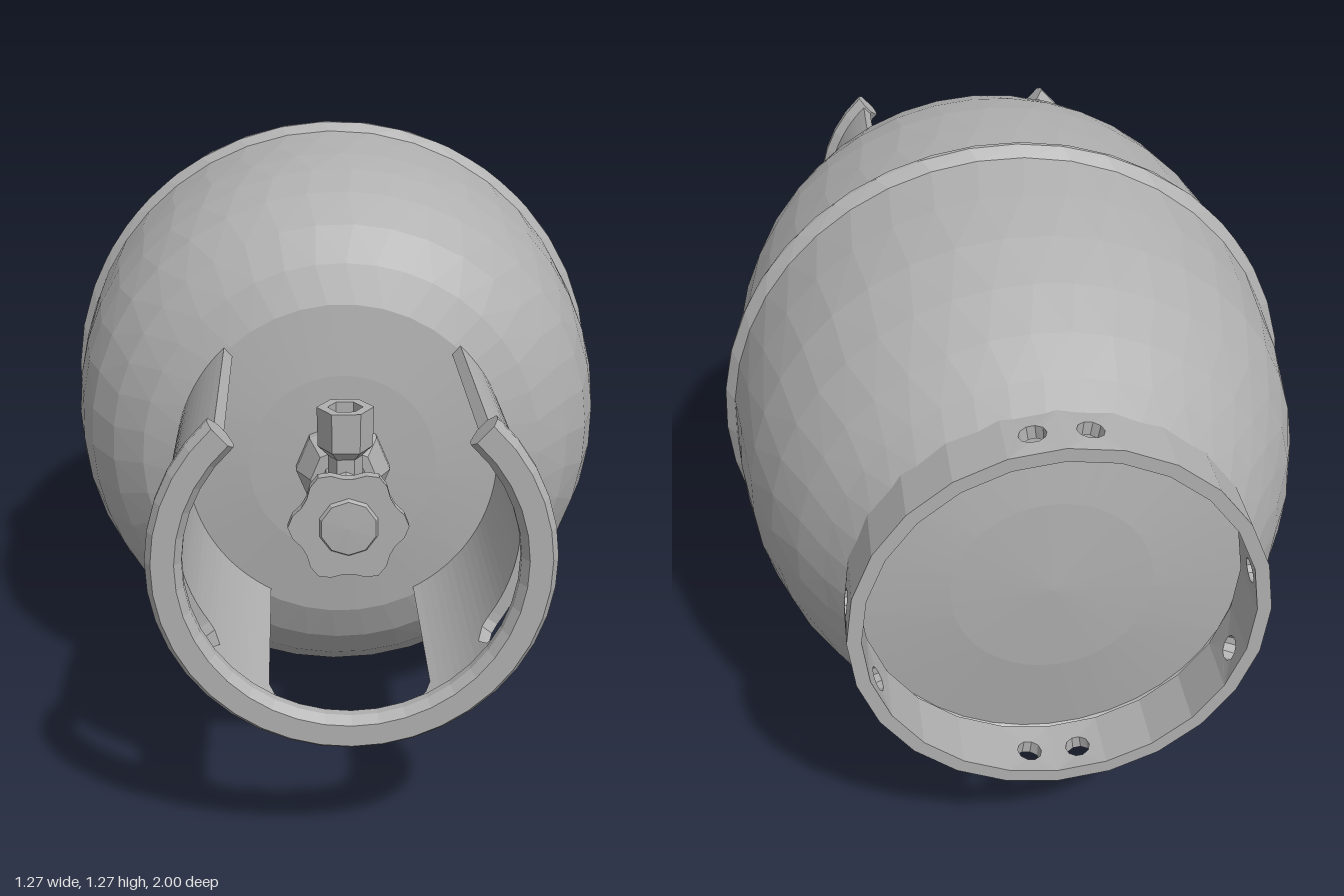
import * as THREE from 'three';
import { mergeGeometries } from 'three/addons/utils/BufferGeometryUtils.js';

const AXIS_Y = 0.637; // height of the bottle's lying axis
const DEG = Math.PI / 180;

const greyMetal = new THREE.MeshStandardMaterial({ color: 0xb0b0b0 });
greyMetal.flatShading = true;

function part(name, geometry, parent) {
  const mesh = new THREE.Mesh(geometry, greyMetal);
  mesh.name = name;
  parent.add(mesh);
  return mesh;
}

// Applies rule(vertex) to every vertex of a geometry.
function reshape(geometry, rule) {
  const pos = geometry.attributes.position;
  const v = new THREE.Vector3();
  for (let i = 0; i < pos.count; i++) {
    rule(v.fromBufferAttribute(pos, i), i);
    pos.setXYZ(i, v.x, v.y, v.z);
  }
  geometry.computeVertexNormals();
  return geometry;
}

// Cylinder coordinates around the bottle axis; the angle starts at the bottom.
const around = (v, angle, z, r) =>
  v.set(r * Math.sin(angle), AXIS_Y - r * Math.cos(angle), z);

// Curved plate from angle a0 to a1 (degrees), with its z limits set per angle
// and its inner and outer radius set per height fraction.
function curvedPlate(a0, a1, steps, low, high, radii, rows = 1) {
  const box = new THREE.BoxGeometry(1, 1, 1, steps, rows, 1);
  return reshape(box, (v) => {
    const a = a0 + (v.x + 0.5) * (a1 - a0);
    const t = v.y + 0.5;
    const [inner, outer] = radii(t);
    around(v, a * DEG, THREE.MathUtils.lerp(low(a), high(a), t), v.z < 0 ? inner : outer);
  });
}

function lathe(points, segments) {
  return new THREE.LatheGeometry(points.map(([r, h]) => new THREE.Vector2(r, h)), segments);
}

// Tank: turned profile whose rows are staggered for a triangular facet pattern.
function tankGeometry() {
  const profile = [
    [0, -0.895], [0.2, -0.885], [0.385, -0.86], [0.402, -0.885], [0.44, -0.82],
    [0.49, -0.74], [0.54, -0.64], [0.58, -0.52], [0.603, -0.38], [0.616, -0.23],
    [0.637, -0.207], [0.637, -0.197], [0.618, -0.175], [0.614, -0.06], [0.605, 0.07],
    [0.587, 0.17], [0.555, 0.27], [0.5, 0.35], [0.43, 0.41], [0.35, 0.445],
    [0.2, 0.463], [0, 0.47],
  ];
  const sides = 40;
  const rows = profile.length;
  const step = (2 * Math.PI) / sides;
  const geometry = reshape(lathe(profile, sides), (v, i) => {
    const row = i % rows;
    const column = Math.floor(i / rows) % sides;
    const wobble = 0.2 * Math.sin(column * 12.9 + row * 78.2);
    const a = step * (Math.floor(i / rows) + row / 2 + wobble);
    const r = profile[row][0];
    v.set(r * Math.sin(a), v.y, r * Math.cos(a));
  });
  return geometry.rotateX(Math.PI / 2).translate(0, AXIS_Y, 0);
}

// Foot ring: 24 curved panels, some with a drain hole.
function footRingGeometry() {
  const R = 0.4;
  const half = 7.5 * DEG * R;
  const drilled = [7.5, 67.5, 97.5, 172.5];
  const panels = [];
  for (let i = 0; i < 24; i++) {
    const centre = -172.5 + 15 * i;
    const shape = new THREE.Shape();
    shape.moveTo(-half, -1).lineTo(half, -1).lineTo(half, -0.875).lineTo(-half, -0.875);
    if (drilled.includes(Math.abs(centre))) {
      shape.holes.push(new THREE.Path().absarc(0, -0.942, 0.026, 0, Math.PI * 2, true));
    }
    const panel = new THREE.ExtrudeGeometry(shape, {
      depth: 0.028, bevelEnabled: false, curveSegments: 5,
    });
    panels.push(reshape(panel, (v) => around(v, centre * DEG + v.x / R, v.y, 0.378 + v.z)));
  }
  return mergeGeometries(panels);
}

// Half height of the hand slot at an angle from the bottom, with round ends.
function slotHalf(angle) {
  const a = Math.abs(angle);
  const inset = Math.min(a - 49, 103 - a);
  if (inset <= 0) return 0;
  const t = Math.min(inset / 7.5, 1);
  return 0.045 * Math.sqrt(1 - (1 - t) ** 2);
}

function buildCollar(parent) {
  const collar = new THREE.Group();
  collar.name = 'guardCollar';
  parent.add(collar);
  const wall = () => [0.333, 0.358];
  const middle = 0.865;

  for (const [side, a0, a1] of [['left', 28, 136], ['right', -136, -28]]) {
    part(side + 'CollarPanel', curvedPlate(a0, a1, 36,
      () => 0.4, (a) => middle - slotHalf(a), wall), collar);
    part(side + 'CollarSlotTop', curvedPlate(a0, a1, 36,
      (a) => middle + slotHalf(a), () => 0.955, wall), collar);
  }

  // Bridge over the lower opening, with rounded corners
  part('collarBridge', curvedPlate(-28, 28, 28, (a) => {
    const t = Math.max(0, 1 - (28 - Math.abs(a)) / 7);
    return 0.93 - 0.045 * (1 - Math.sqrt(1 - t * t));
  }, () => 0.955, wall), collar);

  // Thickened rolled rim
  const rimRadii = (t) => (t < 0.2 ? [0.333, 0.358] : t < 0.8 ? [0.312, 0.38] : [0.325, 0.368]);
  part('collarRim', curvedPlate(-137, 137, 30, () => 0.945, () => 1, rimRadii, 3), collar);
}

function buildValve(parent) {
  const valve = new THREE.Group();
  valve.name = 'valve';
  valve.position.y = AXIS_Y;
  parent.add(valve);

  // Turned pieces along the bottle axis
  const turned = (name, points, sides) =>
    part(name, lathe(points, sides).rotateX(Math.PI / 2), valve);
  turned('valveBoss', [[0.1, 0.44], [0.1, 0.49], [0.07, 0.55], [0, 0.55]], 8);
  turned('valveStem', [[0.035, 0.54], [0.055, 0.59], [0.055, 0.65], [0.03, 0.7],
    [0.025, 0.76], [0.05, 0.775], [0.05, 0.795]], 8);
  turned('handwheelCap', [[0.062, 0.805], [0.055, 0.817], [0, 0.819]], 10);

  // Six-sided outlet pointing up, open at the top
  const outlet = part('valveOutlet', lathe([[0.035, 0], [0.035, 0.08], [0.056, 0.1],
    [0.058, 0.183], [0.036, 0.183], [0.036, 0.12], [0, 0.12]], 6), valve);
  outlet.position.z = 0.62;
  outlet.rotation.y = Math.PI / 6;

  // Lobed handwheel
  const rim = [];
  for (let i = 0; i < 30; i++) {
    const a = (i / 30) * Math.PI * 2;
    const r = 0.108 + 0.01 * Math.cos(6 * a);
    rim.push(new THREE.Vector2(r * Math.cos(a), r * Math.sin(a)));
  }
  const wheel = new THREE.ExtrudeGeometry(new THREE.Shape(rim), {
    depth: 0.022, bevelEnabled: false,
  });
  part('handwheel', wheel, valve).position.z = 0.787;
}

export function createModel() {
  const model = new THREE.Group();
  model.name = 'gasBottle';
  part('tank', tankGeometry(), model);
  part('footRing', footRingGeometry(), model);
  buildCollar(model);
  buildValve(model);
  return model;
}
